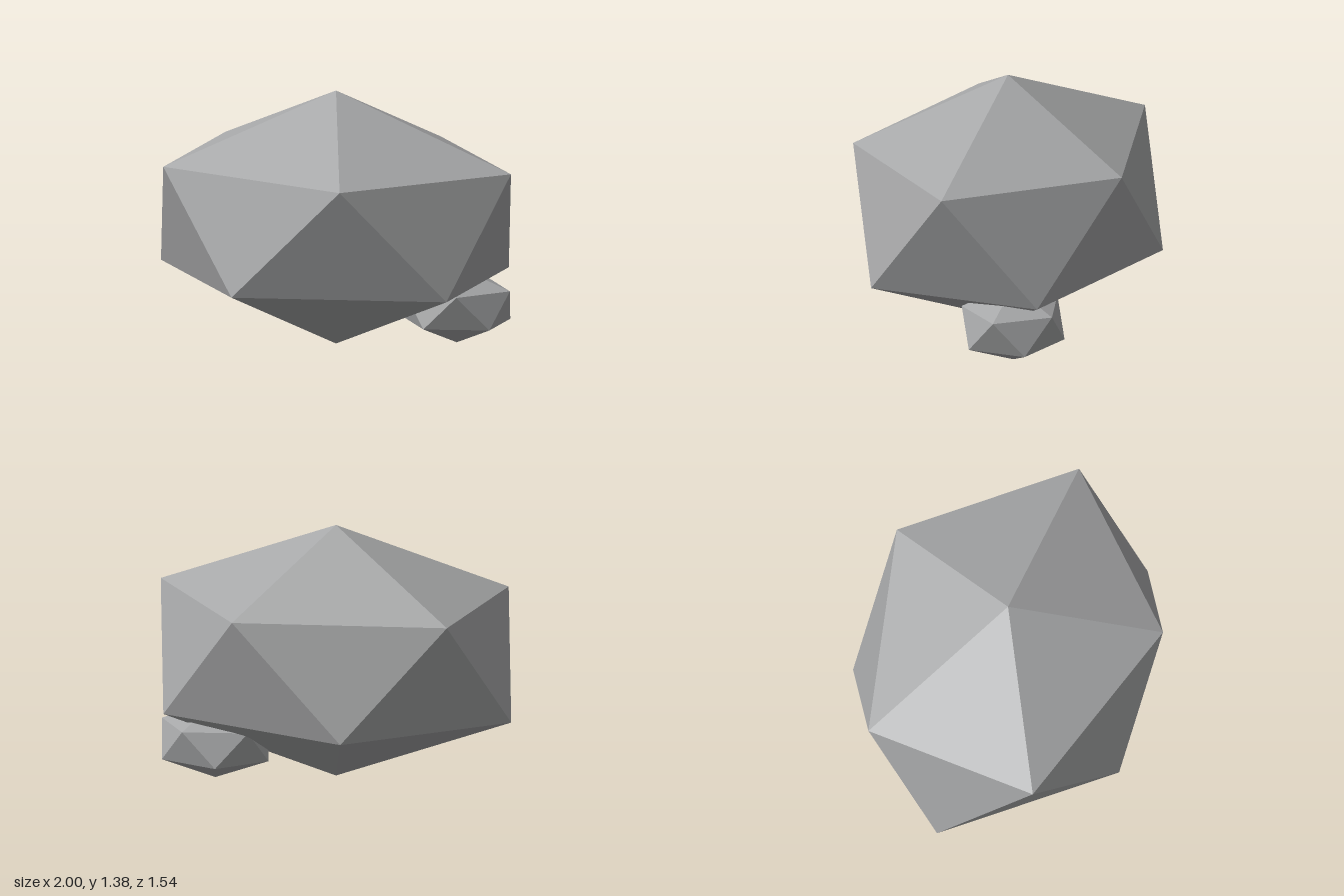
import * as THREE from 'three';

// Stretched icosahedron standing on its tip: five-sided rings between two poles
function rockGeometry(rx, height, rz) {
  const ring = (y, offset) => Array.from({ length: 5 }, (_, i) => {
    const a = (i + offset) * Math.PI * 2 / 5;
    return [rx * Math.cos(a), y * height, rz * Math.sin(a)];
  });
  const upper = ring(0.7236, 0);
  const lower = ring(0.2764, 0.5);
  const top = [0, height, 0];
  const bottom = [0, 0, 0];
  const corners = [];
  for (let i = 0; i < 5; i++) {
    const j = (i + 1) % 5;
    corners.push(
      top, upper[j], upper[i],
      upper[i], upper[j], lower[i],
      upper[j], lower[j], lower[i],
      bottom, lower[i], lower[j]
    );
  }
  const geometry = new THREE.BufferGeometry();
  geometry.setAttribute('position', new THREE.Float32BufferAttribute(corners.flat(), 3));
  geometry.computeVertexNormals();
  return geometry;
}

export function createModel() {
  const group = new THREE.Group();
  group.name = 'rocks';
  const stone = new THREE.MeshStandardMaterial({ color: 0xa6a7a8 });
  stone.name = 'stone grey';
  stone.flatShading = true;

  // Large boulder
  const boulder = new THREE.Mesh(rockGeometry(1, 1.385, 0.809), stone);
  boulder.name = 'boulder';

  // Small stone tucked under its left rear side
  const pebble = new THREE.Mesh(rockGeometry(0.304, 0.417, 0.272), stone);
  pebble.name = 'smallStone';
  pebble.position.set(0.594, 0, -0.256);

  group.add(boulder, pebble);
  return group;
}
